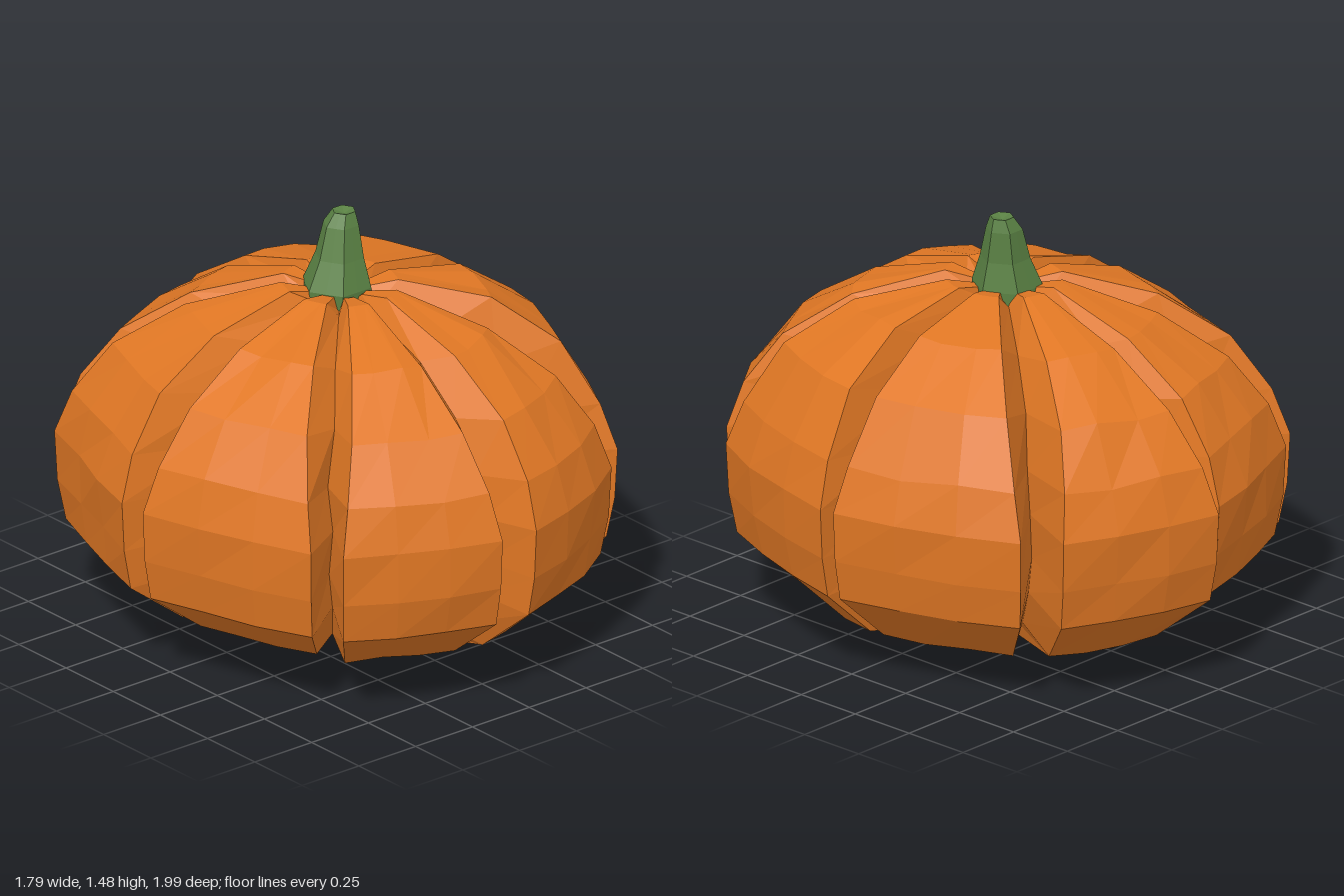
import * as THREE from 'three';

// small seeded random in -1..1 for hand-carved irregularity
function makeRandom(seed) {
  return () => {
    seed = (seed * 16807) % 2147483647;
    return (seed / 2147483647) * 2 - 1;
  };
}

// facetted skin over a grid of rows (top to bottom) by columns (increasing angle)
function skin(rows, closed = false) {
  const cols = rows[0].length;
  const pos = rows.flat().flatMap((p) => [p.x, p.y, p.z]);
  const index = [];
  for (let i = 0; i < rows.length - 1; i++) {
    for (let j = 0; j < (closed ? cols : cols - 1); j++) {
      const k = (j + 1) % cols;
      const a = i * cols + j, b = i * cols + k, c = a + cols, d = b + cols;
      index.push(a, b, d, a, d, c);
    }
  }
  const g = new THREE.BufferGeometry();
  g.setAttribute('position', new THREE.Float32BufferAttribute(pos, 3));
  g.setIndex(index);
  const flat = g.toNonIndexed();
  flat.computeVertexNormals();
  return flat;
}

// outer profile, top to bottom: [radius factor, height, how far the lobe's edges draw in]
const PROFILE = [
  [0.0, 1.18, 0], [0.1, 1.215, 0.2], [0.22, 1.235, 0.2], [0.56, 1.145, 0.11], [0.81, 0.99, 0.07],
  [0.945, 0.8, 0.03], [1.0, 0.64, 0], [0.99, 0.46, 0], [0.96, 0.315, 0], [0.72, 0.12, 0.02],
  [0.2, 0.0, 0.04], [0.0, 0.05, 0],
];

// lobes from the left side round to the front: widest corners, face bulge,
// depth ratio of the groove that follows, shoulder lift and floor lift
const LOBES = [
  { from: [0.895, 0.01], to: [0.68, 0.65], bulge: 1.03, groove: 0.7, shoulder: 0.03, floor: 0 },
  { from: [0.57, 0.75], to: [0.04, 0.99], bulge: 1.03, groove: 0.8, shoulder: -0.015, floor: 0 },
  { from: [-0.1, 0.98], to: [-0.61, 0.75], bulge: 1.02, groove: 0.77, shoulder: -0.015, floor: 0.01 },
  { from: [-0.67, 0.65], to: [-0.895, 0.03], bulge: 1.015, groove: 0.65, shoulder: 0, floor: 0.03 },
  { from: [-0.895, -0.08], to: [-0.69, -0.685], bulge: 1.0, groove: 0.74, shoulder: 0, floor: 0.03 },
  { from: [-0.6, -0.75], to: [-0.05, -0.955], bulge: 1.015, groove: 0.78, shoulder: -0.015, floor: 0.01 },
  { from: [0.0, -1.0], to: [0.555, -0.8], bulge: 1.02, groove: 0.71, shoulder: -0.015, floor: 0 },
  { from: [0.65, -0.69], to: [0.885, -0.04], bulge: 1.03, groove: 0.62, shoulder: 0.03, floor: 0 },
];

export function createModel() {
  const model = new THREE.Group();
  model.name = 'pumpkin';
  const orange = new THREE.MeshStandardMaterial({ color: 0xe07724, flatShading: true });
  orange.name = 'orange rind';
  const green = new THREE.MeshStandardMaterial({ color: 0x598043, flatShading: true });
  green.name = 'green stem';
  const random = makeRandom(77);

  // gently wandering groove after each lobe, one point per height
  const grooves = LOBES.map((lobe, n) => {
    const next = LOBES[(n + 1) % 8];
    const mid = new THREE.Vector2(...lobe.to).lerp(new THREE.Vector2(...next.from), 0.5);
    return PROFILE.map(([r, y]) => {
      const p = mid.clone().rotateAround(new THREE.Vector2(), random() * 0.015).multiplyScalar(r * lobe.groove);
      return new THREE.Vector3(p.x, 0.6 + (y - 0.6) * 0.91, p.y);
    });
  });

  // lobes: groove, corner, two face points, corner, groove at each height
  LOBES.forEach(({ from, to, bulge, shoulder, floor }, n) => {
    const start = new THREE.Vector2(...from);
    const end = new THREE.Vector2(...to);
    const rows = PROFILE.map(([r, y, inset], i) => {
      const before = grooves[(n + 7) % 8][i];
      const after = grooves[n][i];
      const lift = y > 0.9 && y < 1.2 ? shoulder : y < 0.2 ? floor : 0;
      const face = [inset, 0.34, 0.66, 1 - inset].map((t, k) => {
        const inner = k === 1 || k === 2;
        const p = start.clone().lerp(end, t);
        if (inner) p.multiplyScalar(bulge + random() * 0.01);
        const wobble = inner && r > 0.3 && r < 0.95 ? random() * 0.012 : 0;
        return new THREE.Vector3(p.x * r, r === 0 ? before.y : y + lift + wobble, p.y * r);
      });
      return [before, ...face, after];
    });
    const mesh = new THREE.Mesh(skin(rows), orange);
    mesh.name = `lobe${n + 1}`;
    model.add(mesh);
  });

  // stem: ribbed, tapering and leaning, with a dimpled cut end; [height, x, z, radius]
  const stemRows = [
    [1.462, 0.045, -0.035, 0], [1.475, 0.045, -0.036, 0.04], [1.43, 0.034, -0.037, 0.062],
    [1.32, 0.02, -0.028, 0.085], [1.22, 0.006, -0.025, 0.12], [1.15, 0.006, -0.027, 0.12],
  ].map(([y, cx, cz, r]) => Array.from({ length: 12 }, (_, j) => {
    const a = (j / 12) * Math.PI * 2;
    const rr = r * (j % 2 ? 0.9 : 1.03);
    return new THREE.Vector3(cx + Math.cos(a) * rr, y, cz + Math.sin(a) * rr);
  }));
  const stem = new THREE.Mesh(skin(stemRows, true), green);
  stem.name = 'stem';
  model.add(stem);

  return model;
}
